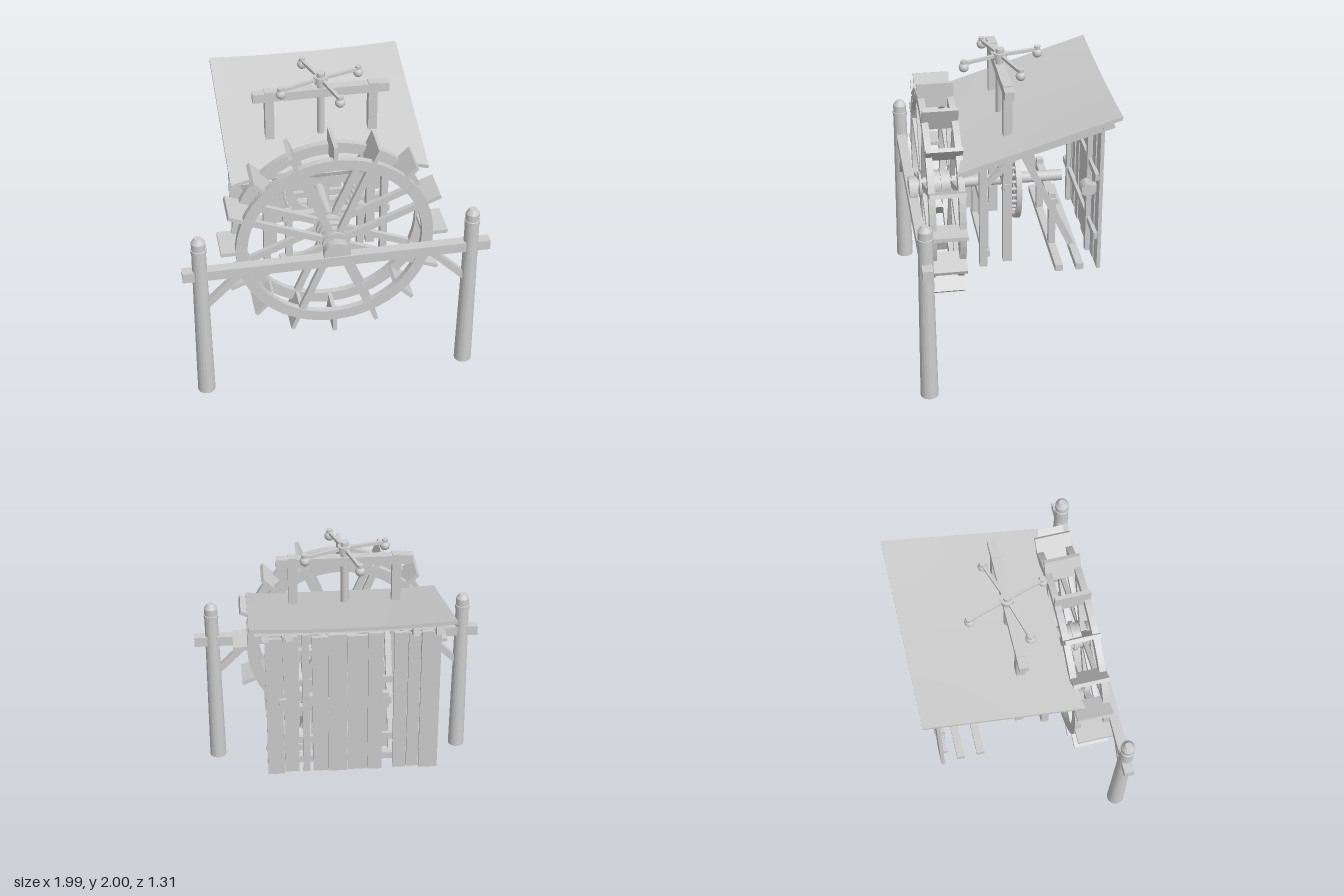
import * as THREE from 'three';

export function createModel() {
  const model = new THREE.Group();
  model.name = 'waterMill';
  const wood = new THREE.MeshStandardMaterial({ color: 0xcccccc });
  wood.name = 'paleGrey';
  const CX = -0.008, AXLE_Y = 1.055;

  const add = (name, geo, x = 0, y = 0, z = 0, parent = model) => {
    const mesh = new THREE.Mesh(geo, wood);
    mesh.name = name;
    mesh.position.set(x, y, z);
    parent.add(mesh);
    return mesh;
  };
  const box = (name, w, h, d, x, y, z, parent) => add(name, new THREE.BoxGeometry(w, h, d), x, y, z, parent);
  // square timber between two points
  const beam = (name, a, b, w, h, parent) => {
    const p = new THREE.Vector3(...a), q = new THREE.Vector3(...b);
    const mesh = box(name, w, h, p.distanceTo(q), 0, 0, 0, parent);
    mesh.position.copy(p).add(q).multiplyScalar(0.5);
    mesh.lookAt(q);
    return mesh;
  };
  // cylinder lying along z
  const drum = (name, r, z0, z1, sides, y, parent = model, x = CX) =>
    add(name, new THREE.CylinderGeometry(r, r, z1 - z0, sides).rotateX(Math.PI / 2), x, y, (z0 + z1) / 2, parent);
  const ring = (name, outer, inner, z0, depth, parent) => {
    const shape = new THREE.Shape().absarc(0, 0, outer, 0, Math.PI * 2, false);
    shape.holes.push(new THREE.Path().absarc(0, 0, inner, 0, Math.PI * 2, true));
    return add(name, new THREE.ExtrudeGeometry(shape, { depth, bevelEnabled: false, curveSegments: 32 }), 0, 0, z0, parent);
  };

  // front posts, crossbeam and knee braces
  const postProfile = [[0, 0], [0.058, 0], [0.046, 1.14], [0.05, 1.142], [0.05, 1.17], [0.045, 1.172],
    [0.045, 1.222], [0.022, 1.255], [0, 1.255]].map(p => new THREE.Vector2(...p));
  for (const s of [-1, 1]) {
    const post = new THREE.LatheGeometry(postProfile, 20).toNonIndexed();
    post.computeVertexNormals();
    add('frontPost', post, CX + s * 0.875, 0, 0.6);
    beam('postBrace', [CX + s * 0.85, 0.715, 0.6], [CX + s * 0.61, 0.955, 0.6], 0.04, 0.045);
    drum('postPeg', 0.012, 0.6, 0.64, 8, 0.975, model, CX + s * 0.865);
  }
  box('frontCrossbeam', 1.985, 0.07, 0.066, -0.002, 0.97, 0.598);
  drum('frontBearing', 0.09, 0.566, 0.622, 10, 1.018);

  // water wheel
  const wheel = new THREE.Group();
  wheel.name = 'waterWheel';
  wheel.position.set(CX, AXLE_Y, 0);
  model.add(wheel);
  for (const z of [0.505, 0.315]) {
    ring('wheelRim', 0.637, 0.563, z, 0.042, wheel);
    for (let i = 0; i < 8; i++) {
      const a = (i + 0.5) * Math.PI / 4;
      const spoke = box('wheelSpoke', 0.5, 0.045, 0.03, 0.325 * Math.cos(a), 0.325 * Math.sin(a), z + 0.021, wheel);
      spoke.rotation.z = a;
    }
  }
  for (let i = 0; i < 16; i++) {
    const a = i * Math.PI / 8;
    const paddle = box('wheelPaddle', 0.165, 0.026, 0.232, 0.65 * Math.cos(a), 0.65 * Math.sin(a), 0.432, wheel);
    paddle.rotation.z = a;
  }
  drum('wheelHub', 0.085, 0.31, 0.555, 20, 0, wheel, 0);
  for (const z of [0.32, 0.39, 0.45, 0.51]) drum('hubBand', 0.1, z, z + 0.025, 20, 0, wheel, 0);
  drum('axle', 0.037, -0.4, 0.6, 16, AXLE_Y);

  // peg gear on the axle
  const gear = new THREE.Group();
  gear.name = 'pegGear';
  gear.position.set(CX, AXLE_Y, 0);
  model.add(gear);
  ring('gearRim', 0.265, 0.175, -0.095, 0.035, gear);
  for (let i = 0; i < 32; i++) {
    const a = i * Math.PI / 16;
    drum('gearPeg', 0.011, -0.09, -0.02, 8, 0.235 * Math.sin(a), gear, 0.235 * Math.cos(a));
  }
  for (let i = 0; i < 2; i++) {
    for (const s of [-1, 1]) {
      const bar = box('gearSpoke', i ? 0.045 : 0.42, i ? 0.42 : 0.045, 0.03, i ? s * 0.05 : 0, i ? 0 : s * 0.05, -0.078, gear);
      bar.name = 'gearSpoke';
    }
  }

  // lantern pinion and vertical spindle
  add('spindle', new THREE.CylinderGeometry(0.025, 0.025, 0.8, 12), CX, 1.6, 0.016);
  for (const y of [1.255, 1.325]) add('pinionDisc', new THREE.CylinderGeometry(0.085, 0.085, 0.018, 20), CX, y, 0.016);
  for (let i = 0; i < 12; i++) {
    const a = i * Math.PI / 6;
    add('pinionBar', new THREE.CylinderGeometry(0.01, 0.01, 0.07, 6), CX + 0.07 * Math.cos(a), 1.29, 0.016 + 0.07 * Math.sin(a));
  }

  // rotor with weighted arms
  add('rotorHub', new THREE.CylinderGeometry(0.045, 0.045, 0.045, 12), CX, 1.95, 0.012);
  add('rotorCap', new THREE.CylinderGeometry(0.026, 0.026, 0.06, 12), CX, 1.97, 0.012);
  for (const [x, z] of [[-0.085, -0.24], [0.25, -0.08], [0.07, 0.255], [-0.275, 0.095]]) {
    beam('rotorArm', [CX, 1.955, 0.012], [x, 1.945, z], 0.022, 0.02);
    add('rotorPeg', new THREE.CylinderGeometry(0.02, 0.02, 0.045, 10), x, 1.945, z);
    add('rotorWeight', new THREE.SphereGeometry(0.032, 14, 10), x, 1.92, z);
  }

  // tall frame through the roof
  for (const s of [-1, 1]) box('tallPost', 0.058, 1.27, 0.058, CX + s * 0.333, 1.27, 0.016);
  box('topBeam', 0.875, 0.06, 0.06, CX, 1.867, 0.016);
  box('spindleBeam', 0.74, 0.05, 0.045, CX, 1.19, 0.016);

  // side frames with braces and rafters
  for (const s of [-1, 1]) {
    const x = CX + s * 0.39;
    box('shedPost', 0.045, 0.79, 0.05, x, 1.035, 0.18);
    beam('rafter', [x, 1.412, 0.335], [x, 1.69, -0.62], 0.045, 0.048);
    beam('outerRafter', [CX + s * 0.535, 1.412, 0.335], [CX + s * 0.535, 1.69, -0.62], 0.045, 0.048);
    beam('kneeBrace', [x, 1.235, 0.165], [x, 1.48, -0.08], 0.035, 0.035);
    beam('rearBrace', [CX + s * 0.27, 1.465, -0.055], [CX + s * 0.27, 0.645, -0.435], 0.04, 0.042);
    for (const z of [0.15, -0.295]) box('axleSupport', 0.045, 0.42, 0.045, CX + s * 0.24, 0.85, z);
  }
  for (const z of [0.15, -0.295]) box('axleBeam', 0.56, 0.05, 0.05, CX, 1.005, z);
  for (const z of [0.15, -0.295, -0.43]) box('baseRail', z > 0 ? 0.6 : 1.08, 0.045, 0.05, CX, 0.664, z);

  // sagging roof sheet
  const roof = new THREE.BoxGeometry(1.265, 0.024, 1, 16, 1, 12);
  const p = roof.attributes.position;
  for (let i = 0; i < p.count; i++) {
    const u = p.getX(i) / 0.6325, t = p.getZ(i) + 0.5;
    const z = -0.655 + 1.025 * t - 0.055 * (1 - u ** 4) * t ** 4;
    const y = 1.448 + 0.3116 * (0.37 - z) - 0.018 * (1 - u * u) * (1 - t);
    p.setXYZ(i, p.getX(i) + CX, y + p.getY(i), z);
  }
  roof.computeVertexNormals();
  add('roof', roof);
  for (const z of [0.3, -0.01, -0.28, -0.56]) {
    const purlin = box('purlin', 1.2, 0.035, 0.04, CX, 1.418 + 0.3 * (0.37 - z), z);
    purlin.rotation.x = 0.3;
  }

  // plank back wall: [left edge, right edge, bottom, top]
  const planks = [[-0.56, -0.44, 0.64, 1.66], [-0.435, -0.36, 0.65, 1.65], [-0.355, -0.27, 0.65, 1.66],
    [-0.2, -0.11, 0.64, 1.66], [-0.107, 0.02, 0.65, 1.65], [0.023, 0.14, 0.64, 1.66], [0.143, 0.24, 0.65, 1.65],
    [0.33, 0.42, 0.65, 1.66], [0.425, 0.53, 0.64, 1.65]];
  planks.forEach(([a, b, y0, y1], i) =>
    box('wallPlank', b - a, y1 - y0, 0.024, (a + b) / 2, (y0 + y1) / 2, -0.555 + (i % 2) * 0.006));
  for (const y of [0.88, 1.31]) box('wallBatten', 1.07, 0.045, 0.025, -0.015, y, -0.53);
  for (const x of [-0.4, 0.28]) box('wallPost', 0.045, 1.02, 0.04, x, 1.15, -0.53);

  // small keg hung on the wall
  add('keg', new THREE.CylinderGeometry(0.047, 0.047, 0.09, 6).rotateZ(Math.PI / 2).rotateX(Math.PI / 2), 0.425, 1.19, -0.485);
  box('kegHolder', 0.05, 0.05, 0.09, 0.425, 1.19, -0.535);

  return model;
}
